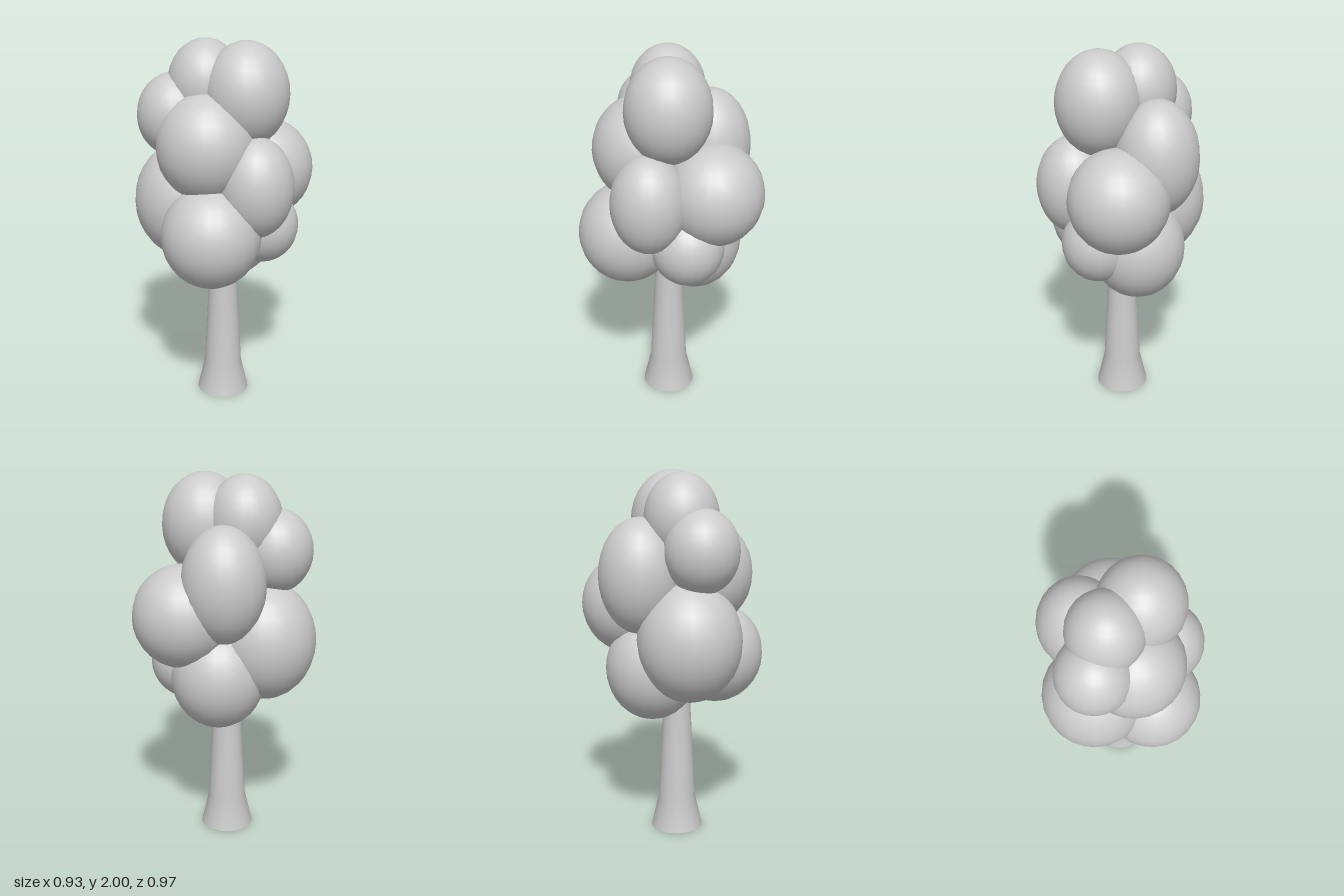
import * as THREE from 'three';

export function createModel() {
  const tree = new THREE.Group();
  tree.name = 'tree';
  const grey = new THREE.MeshStandardMaterial({ color: 0xcccccc });
  const trunkGrey = new THREE.MeshStandardMaterial({ color: 0xcccccc, side: THREE.DoubleSide });

  // Trunk: open tube with a flared foot, its top hidden in the crown
  const profile = [[0.143, 0], [0.103, 0.175], [0.075, 0.73], [0.06, 1.05]];
  const trunk = new THREE.Mesh(
    new THREE.LatheGeometry(profile.map(([r, y]) => new THREE.Vector2(r, y)), 24),
    trunkGrey
  );
  trunk.name = 'trunk';
  trunk.position.set(0.029, 0, -0.005);
  tree.add(trunk);

  // Crown: overlapping upright ellipsoids [name, x, y, z, radius, half height]
  const clumps = [
    ['topLeftClump', 0.158, 1.725, 0.012, 0.227, 0.275],
    ['topRightClump', -0.073, 1.76, -0.01, 0.2, 0.24],
    ['upperRightClump', -0.225, 1.6, 0.05, 0.2, 0.225],
    ['middleFrontClump', -0.02, 1.46, 0.13, 0.265, 0.29],
    ['middleBackClump', -0.035, 1.46, -0.227, 0.222, 0.31],
    ['middleLeftClump', 0.247, 1.26, 0.122, 0.202, 0.27],
    ['backLeftClump', 0.197, 1.275, -0.222, 0.265, 0.275],
    ['lowerRightClump', -0.182, 1.12, 0, 0.281, 0.325],
    ['lowerFrontClump', 0.035, 1.0, 0.219, 0.265, 0.278],
    ['lowerLeftClump', 0.23, 0.99, -0.082, 0.196, 0.208],
    ['lowerBackClump', 0.025, 0.94, -0.145, 0.255, 0.285],
  ];
  const crown = new THREE.Group();
  crown.name = 'crown';
  const ball = new THREE.SphereGeometry(1, 24, 16);
  for (const [name, x, y, z, r, h] of clumps) {
    const clump = new THREE.Mesh(ball, grey);
    clump.name = name;
    clump.position.set(x, y, z);
    clump.scale.set(r, h, r);
    crown.add(clump);
  }
  tree.add(crown);
  return tree;
}
